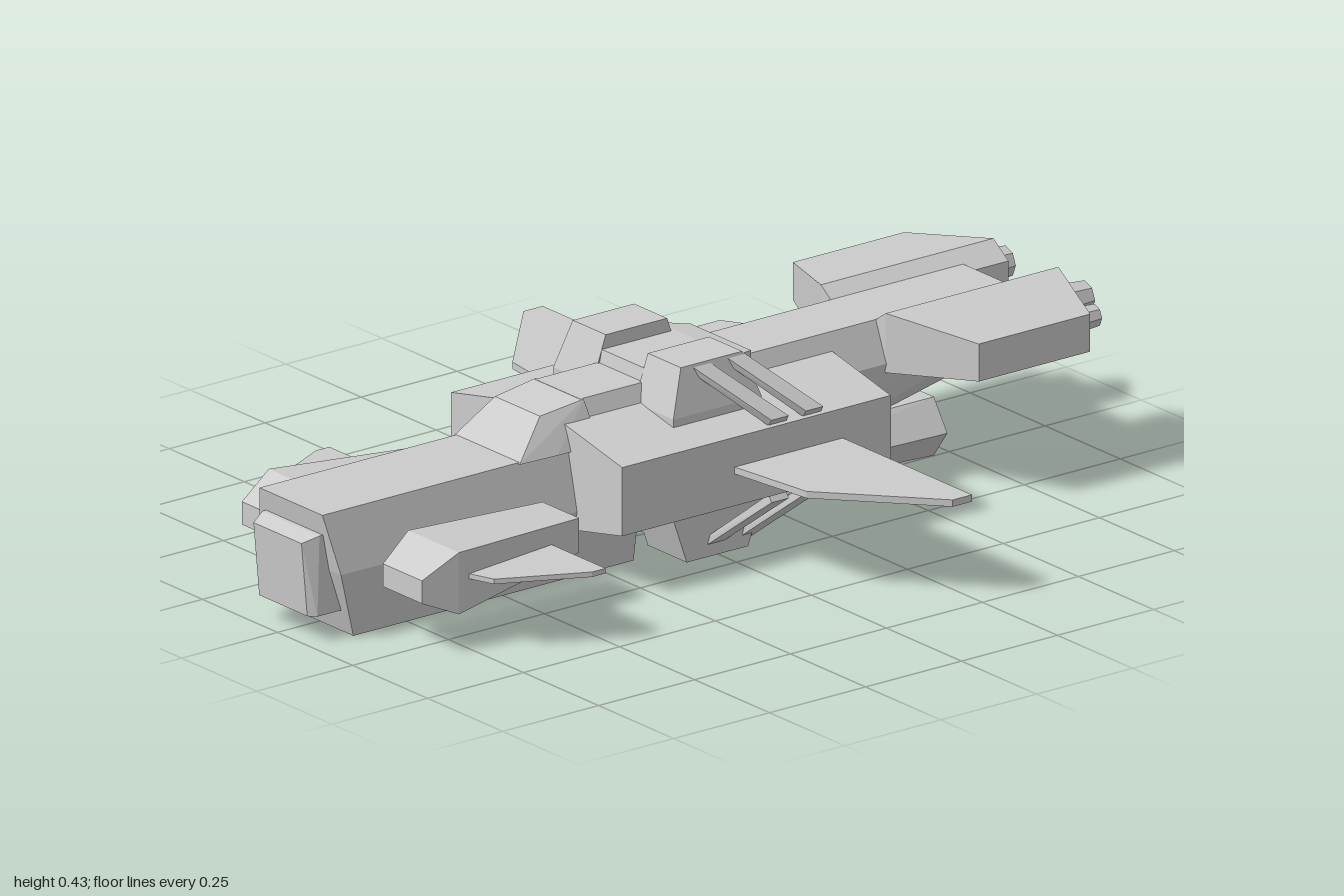
import * as THREE from 'three';
import { ConvexGeometry } from 'three/addons/geometries/ConvexGeometry.js';

export function createModel() {
  const ship = new THREE.Group();
  ship.name = 'spacecraft';
  const material = new THREE.MeshStandardMaterial({ color: 0xcccccc, flatShading: true });

  const add = (name, geometry) => {
    const mesh = new THREE.Mesh(geometry, material);
    mesh.name = name;
    ship.add(mesh);
    return mesh;
  };
  // Faceted solid around a list of [x, y, z] corners
  const hull = (name, pts) => add(name, new ConvexGeometry(pts.map((p) => new THREE.Vector3(...p))));
  const flipX = (pts) => pts.map(([x, y, z]) => [-x, y, z]);
  // Body parts repeat below the mid plane of the centre section
  const MID = 0.22;
  const flipY = (pts) => pts.map(([x, y, z]) => [x, 2 * MID - y, z]);
  // Solid symmetric across x = 0, from its left half
  const centred = (name, pts) => hull(name, [...pts, ...flipX(pts)]);
  // Matching solids on the left and right
  const pair = (name, pts) => {
    hull(name + 'Left', pts);
    hull(name + 'Right', flipX(pts));
  };
  // Rectangle corners in the xy plane and in the yz plane
  const rectZ = (z, x0, x1, y0, y1) => [[x0, y0, z], [x1, y0, z], [x1, y1, z], [x0, y1, z]];
  const rectX = (x, z0, z1, y0, y1) => [[x, y0, z0], [x, y0, z1], [x, y1, z1], [x, y1, z0]];
  // Flat plate from an [x, z] outline
  const plate = (outline, y0, y1) => outline.flatMap(([x, z]) => [[x, y0, z], [x, y1, z]]);

  // Forward hull, nose and canopy
  centred('forwardHull', [
    [0.105, 0.283, 0.965], [0.135, 0.155, 0.94], [0.112, 0.005, 0.89],
    [0.105, 0.283, 0.16], [0.135, 0.155, 0.16], [0.112, 0.005, 0.16],
  ]);
  centred('nose', [
    [0.08, 0.222, 1], [0.08, 0.06, 0.985], [0.095, 0.235, 0.965],
    [0.095, 0.06, 0.97], [0.095, 0.235, 0.88], [0.095, 0.06, 0.88],
  ]);
  centred('canopy', [
    [0.11, 0.28, 0.455], [0.075, 0.358, 0.375], [0.115, 0.28, 0.36],
    [0.075, 0.358, 0.29], [0.08, 0.372, 0.265], [0.115, 0.28, 0.25],
  ]);

  // Long spine with an upswept tail
  centred('spine', [
    [0.075, 0.372, 0.27], [0.11, 0.285, 0.3], [0.075, 0.13, 0.3],
    [0.075, 0.372, -0.845], [0.11, 0.285, -0.79],
    [0.075, 0.22, -0.755], [0.075, 0.135, -0.36],
  ]);

  // Wide centre body
  const bodyHalf = [-0.375, 0.325].flatMap((z) => [[0.09, 0.335, z], [0.285, 0.295, z]]);
  centred('centreBody', [...bodyHalf, ...flipY(bodyHalf)]);

  // Blocks, bridges and slanted struts, above and below the body
  for (const [level, flip, topX] of [['upper', (p) => p, 0.18], ['lower', flipY, 0.2]]) {
    pair(level + 'Block', flip([
      ...rectX(0.07, -0.07, 0.09, 0.428, 0.43), ...rectX(topX, -0.07, 0.09, 0.428, 0.43),
      ...rectX(0.07, -0.105, 0.125, 0.29, 0.33), ...rectX(0.2, -0.105, 0.125, 0.29, 0.33),
    ]));
    centred(level + 'Bridge', flip([
      [0.12, 0.4, 0.1], [0.12, 0.31, 0.12], [0.13, 0.4, -0.09],
      [0.1, 0.39, -0.155], [0.1, 0.33, -0.155],
    ]));
    for (const z of [0.06, -0.03]) {
      const strut = [0, -0.045].flatMap((dz) => [
        [0.18, 0.425, z + dz], [0.175, 0.412, z + dz],
        [0.284, 0.31, z + dz - 0.125], [0.274, 0.295, z + dz - 0.125],
      ]);
      pair(level + 'Strut', flip(strut));
    }
  }

  // Main wings
  pair('mainWing', plate([[0.26, -0.25], [0.715, -0.25], [0.715, -0.2], [0.49, 0.005], [0.26, 0.035]], 0.215, 0.23));

  // Front side pods and their winglets
  pair('frontPod', [
    ...rectZ(0.425, 0.148, 0.27, 0.128, 0.203),
    ...rectZ(0.775, 0.148, 0.317, 0.085, 0.22),
    ...rectZ(0.858, 0.17, 0.3, 0.122, 0.172),
  ]);
  pair('winglet', plate([[0.22, 0.505], [0.46, 0.505], [0.46, 0.54], [0.37, 0.725], [0.3, 0.75]], 0.155, 0.166));

  // Rear engine pods with two nozzles each
  pair('enginePod', [
    ...rectX(0.058, -0.95, -0.5, 0.295, 0.36),
    ...rectX(0.108, -0.95, -0.5, 0.265, 0.395),
    ...rectX(0.31, -0.875, -0.585, 0.285, 0.367),
  ]);
  for (const side of [1, -1]) {
    for (const [x, r, zEnd] of [[0.132, 0.044, -1], [0.235, 0.032, -0.945]]) {
      const nozzle = add('nozzle', new THREE.CylinderGeometry(r, r * 0.78, 0.1, 8).rotateX(Math.PI / 2));
      nozzle.position.set(side * x, 0.327, zEnd + 0.05);
    }
  }

  // Lower thruster
  centred('lowerThruster', [
    [0.045, 0.155, -0.675], [0.09, 0.088, -0.675], [0.045, 0.027, -0.675],
    [0.045, 0.155, -0.08], [0.09, 0.1, -0.08], [0.045, 0.053, -0.08],
  ]);

  return ship;
}
